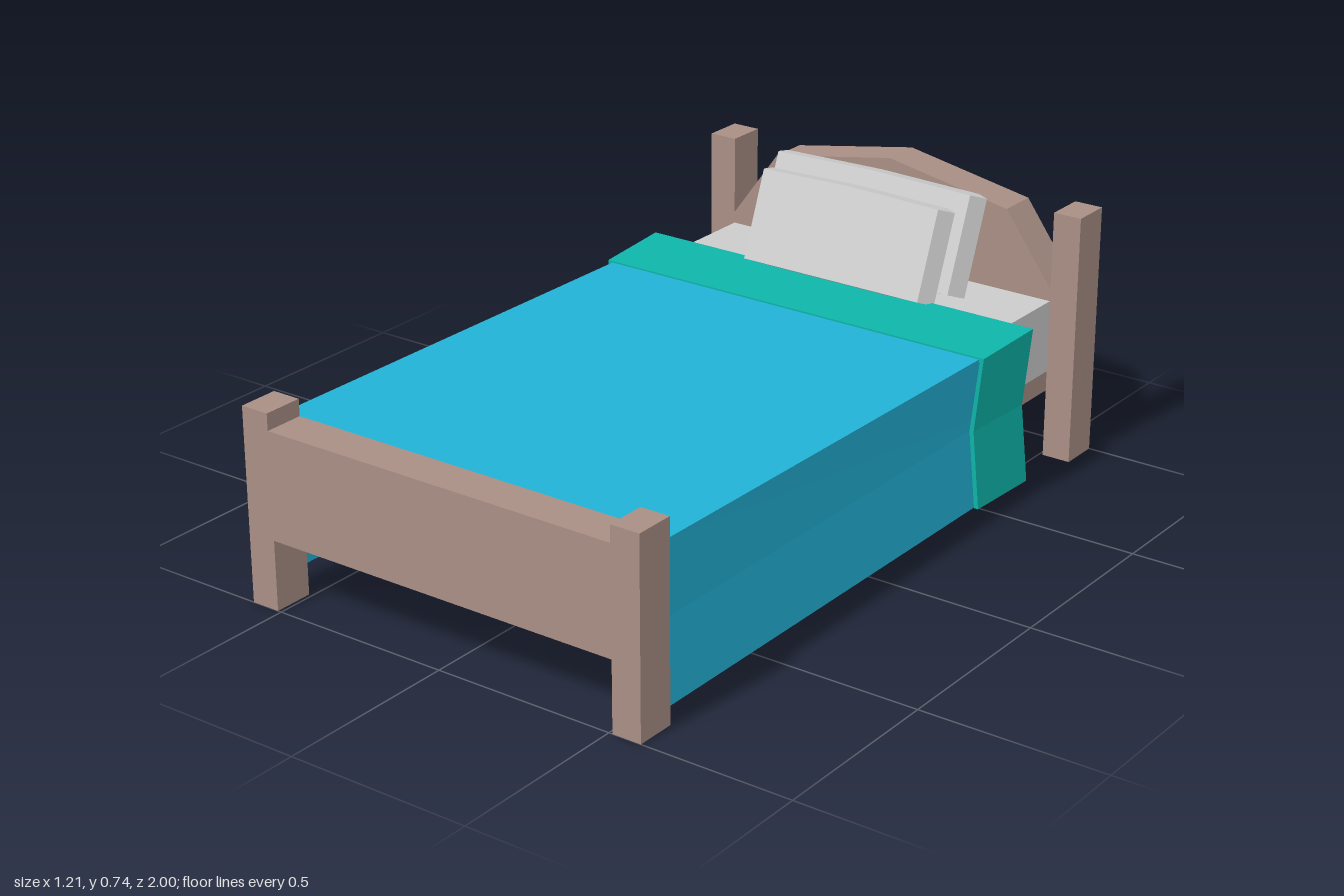
import * as THREE from 'three';
import { ConvexGeometry } from 'three/addons/geometries/ConvexGeometry.js';

const paint = (color, side = THREE.FrontSide) =>
  new THREE.MeshStandardMaterial({ color, side, flatShading: true });

// Closed ring of a draped cloth: down one side, over the top, down the other
function drapeRing({ z, w, mid, top, t }) {
  const side = (s, o, y) => [s * (w - o), y, z];
  const bend = (s, o) => [s * (mid - o), 0.25, z];
  return [
    side(-1, 0, 0.04), bend(-1, 0), side(-1, 0, top), side(1, 0, top), bend(1, 0), side(1, 0, 0.04),
    side(1, t, 0.04), bend(1, t), side(1, t, top - t), side(-1, t, top - t), bend(-1, t), side(-1, t, 0.04),
  ];
}

// Thick cloth lofted from a front ring to a back ring, with capped ends
function drape(front, back) {
  const f = drapeRing(front), b = drapeRing(back), n = f.length;
  const pos = [];
  const quad = (p, q, r, s) => pos.push(...p, ...q, ...r, ...p, ...r, ...s);
  for (let i = 0; i < n; i++) {
    const j = (i + 1) % n;
    quad(f[i], f[j], b[j], b[i]);
  }
  for (let i = 0; i < n / 2 - 1; i++) {
    const k = n - 1 - i;
    quad(f[k], f[k - 1], f[i + 1], f[i]);
    quad(b[i], b[i + 1], b[k - 1], b[k]);
  }
  const g = new THREE.BufferGeometry();
  g.setAttribute('position', new THREE.Float32BufferAttribute(pos, 3));
  g.computeVertexNormals();
  return g;
}

// Cushion with ridged ends and a slightly raised middle
function pillowGeometry(halfWidth, height, depth) {
  const pts = [];
  for (const s of [-1, 1]) {
    for (const y of [0, height]) {
      for (const d of [-1, 1]) pts.push(new THREE.Vector3(s * (halfWidth - 0.026), y, d * depth / 2));
      pts.push(new THREE.Vector3(s * halfWidth, y, 0));
    }
    for (const d of [-1, 1]) pts.push(new THREE.Vector3(0, height + 0.006, d * depth / 2));
    pts.push(new THREE.Vector3(s * (halfWidth - 0.026), height + 0.008, 0));
  }
  pts.push(new THREE.Vector3(0, height + 0.014, 0), new THREE.Vector3(0, -0.006, 0));
  return new ConvexGeometry(pts);
}

export function createModel() {
  const bed = new THREE.Group();
  bed.name = 'bed';
  const wood = paint(0xa98f85);
  const linen = paint(0xcccccc);

  const add = (name, geometry, material, x = 0, y = 0, z = 0) => {
    const mesh = new THREE.Mesh(geometry, material);
    mesh.name = name;
    mesh.position.set(x, y, z);
    bed.add(mesh);
    return mesh;
  };
  const box = (name, w, h, d, material, x, y, z) =>
    add(name, new THREE.BoxGeometry(w, h, d), material, x, y + h / 2, z);

  // Corner posts, taller at the head
  for (const [side, s] of [['left', 1], ['right', -1]]) {
    box(side + 'FootPost', 0.08, 0.52, 0.11, wood, s * 0.55, 0, 0.945);
    box(side + 'HeadPost', 0.08, 0.69, 0.11, wood, s * 0.55, 0, -0.945);
  }

  // Footboard, base and mattress
  box('footboard', 1.02, 0.287, 0.11, wood, 0, 0.188, 0.945);
  box('base', 1.02, 0.055, 1.78, wood, 0, 0.188, 0);
  box('mattress', 1.02, 0.2, 1.78, linen, 0, 0.243, 0);

  // Peaked headboard
  const outline = new THREE.Shape([
    [-0.51, 0.188], [0.51, 0.188], [0.51, 0.475], [0.368, 0.67],
    [0, 0.737], [-0.368, 0.67], [-0.51, 0.475],
  ].map(([x, y]) => new THREE.Vector2(x, y)));
  add('headboard', new THREE.ExtrudeGeometry(outline, { depth: 0.11, bevelEnabled: false }), wood, 0, 0, -1);

  // Blanket and its folded-over end
  add('blanket', drape(
    { z: 0.875, w: 0.58, mid: 0.56, top: 0.461, t: 0.004 },
    { z: -0.635, w: 0.58, mid: 0.56, top: 0.449, t: 0.004 },
  ), paint(0x22b2d6, THREE.DoubleSide));
  add('blanketFold', drape(
    { z: -0.42, w: 0.594, mid: 0.572, top: 0.455, t: 0.012 },
    { z: -0.645, w: 0.603, mid: 0.58, top: 0.466, t: 0.014 },
  ), paint(0x0db3a8, THREE.DoubleSide));

  // Two pillows leaning back on the headboard
  const frontPillow = add('frontPillow', pillowGeometry(0.302, 0.247, 0.088), linen, 0, 0.458, -0.648);
  const backPillow = add('backPillow', pillowGeometry(0.331, 0.268, 0.092), linen, 0, 0.452, -0.752);
  for (const p of [frontPillow, backPillow]) p.rotation.x = -0.37;

  return bed;
}
